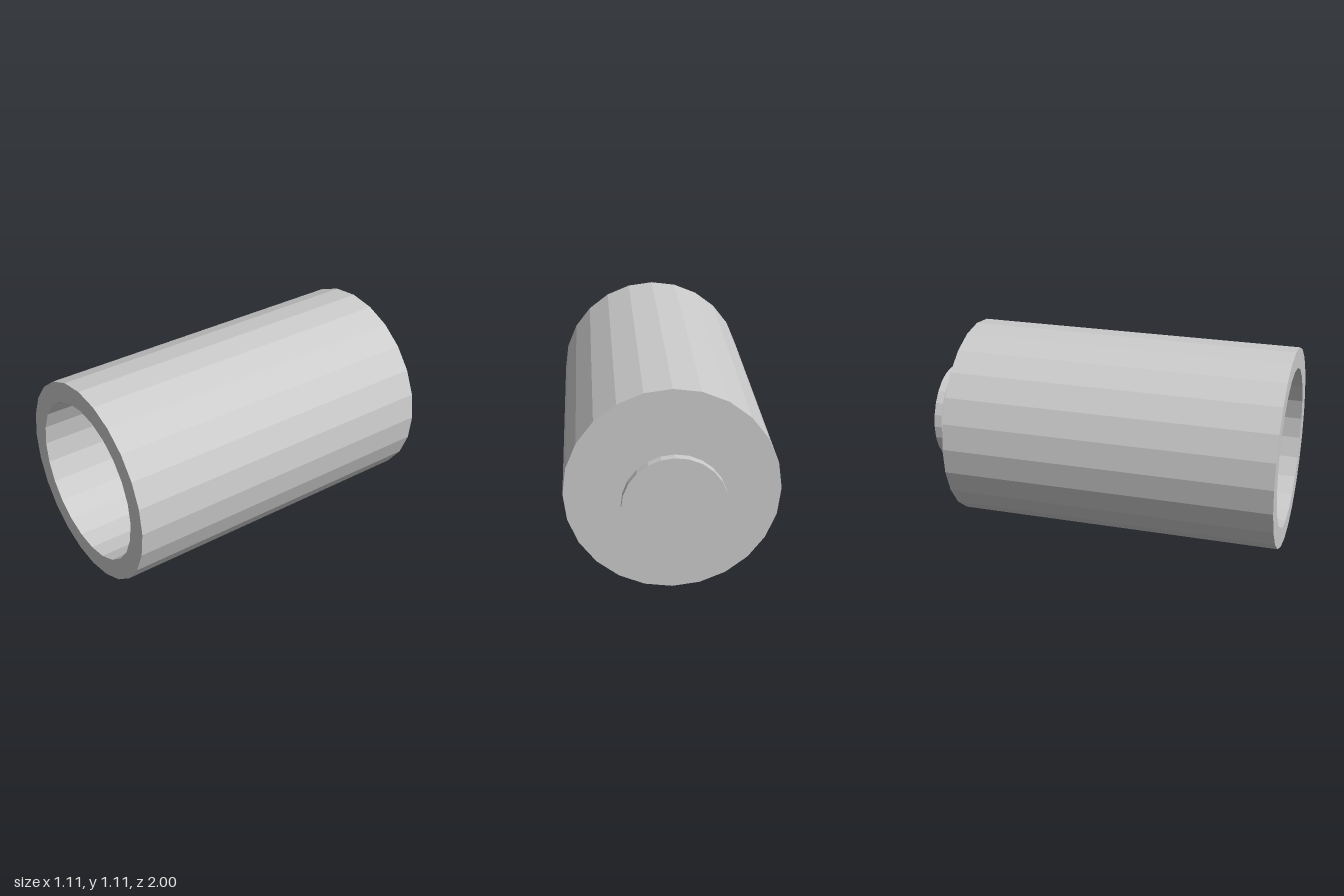
import * as THREE from 'three';

const SIDES = 24;
const CENTRE_Y = 0.556;

// Faceted solid of revolution about z; profile is [radius, z] from back to front
function turned(name, profile) {
  const points = profile.map(([r, z]) => new THREE.Vector2(r, z));
  const geometry = new THREE.LatheGeometry(points, SIDES);
  geometry.rotateX(Math.PI / 2);
  geometry.translate(0, CENTRE_Y, 0);
  const material = new THREE.MeshStandardMaterial({ color: 0xcccccc, flatShading: true });
  const mesh = new THREE.Mesh(geometry, material);
  mesh.name = name;
  return mesh;
}

export function createModel() {
  const group = new THREE.Group();
  group.name = 'cylinderCup';

  // Thick-walled cup, open at the front and closed at the back
  group.add(turned('cupBody', [
    [0, -0.822], [0.556, -0.822], [0.556, 1],
    [0.444, 1], [0.444, -0.711], [0, -0.711],
  ]));

  // Neck joining the cup to the end disc
  group.add(turned('neck', [[0.178, -0.956], [0.178, -0.822]]));

  // End disc
  group.add(turned('endDisc', [
    [0, -1], [0.267, -1], [0.267, -0.956], [0, -0.956],
  ]));

  return group;
}
